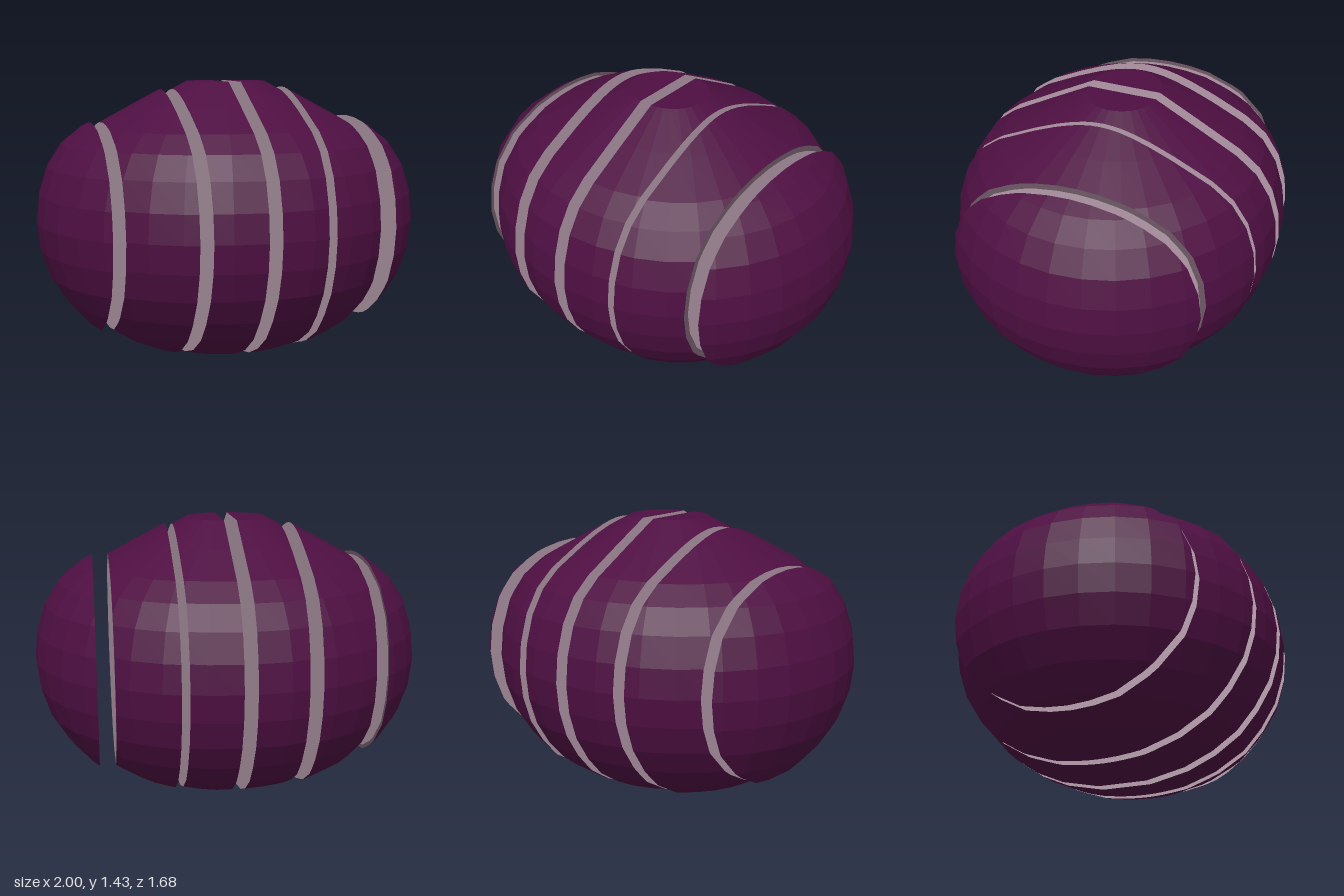
import * as THREE from 'three';

const skin = new THREE.MeshStandardMaterial({ color: 0x4e0f42 });
skin.name = 'purple skin';
const flesh = new THREE.MeshStandardMaterial({ color: 0xb59bab });
flesh.name = 'pale flesh';
const rim = new THREE.MeshStandardMaterial({ color: 0x6e5a66 });
rim.name = 'dull rim';

const MID = 0.71;

// Keep the part of a polygon where side * (x - cut) <= 0
function clip(poly, cut, side) {
  const out = [];
  poly.forEach((p, i) => {
    const q = poly[(i + 1) % poly.length];
    const dp = side * (p.x - cut), dq = side * (q.x - cut);
    if (dp <= 0) out.push(p);
    if ((dp < 0 && dq > 0) || (dp > 0 && dq < 0)) {
      const v = p.clone().lerp(q, dp / (dp - dq));
      v.x = cut;
      out.push(v);
    }
  });
  return out;
}

function meshFrom(points, material, name) {
  const geometry = new THREE.BufferGeometry().setFromPoints(points);
  geometry.computeVertexNormals();
  const mesh = new THREE.Mesh(geometry, material);
  mesh.name = name;
  return mesh;
}

// Flat cut face: an outer ring and a core, facing +x or -x
function addCutFace(group, edge, side, rimWidth) {
  const loop = edge.slice().sort((a, b) =>
    Math.atan2(a.z, a.y - MID) - Math.atan2(b.z, b.y - MID))
    .filter((p, i, all) => i === 0 || p.distanceTo(all[i - 1]) > 1e-4);
  const centre = new THREE.Vector3(loop[0].x, MID, 0);
  const inner = loop.map(p => p.clone().lerp(centre, rimWidth / p.distanceTo(centre)));
  const ring = [], core = [];
  const tri = (list, a, b, c) => list.push(...(side > 0 ? [a, b, c] : [a, c, b]));
  loop.forEach((p, i) => {
    const j = (i + 1) % loop.length;
    if (rimWidth > 0) {
      tri(ring, p, loop[j], inner[j]);
      tri(ring, p, inner[j], inner[i]);
    }
    tri(core, centre, inner[i], inner[j]);
  });
  const name = side > 0 ? 'leftCutFace' : 'rightCutFace';
  group.add(meshFrom(core, flesh, name));
  if (rimWidth > 0) group.add(meshFrom(ring, rim, name + 'Rim'));
}

export function createModel() {
  const model = new THREE.Group();
  model.name = 'slicedBulb';

  // Whole faceted bulb, flat at the top and bottom
  const profile = [
    [0, 0], [0.13, 0], [0.33, 0.045], [0.475, 0.11], [0.605, 0.2], [0.7, 0.31],
    [0.78, 0.44], [0.825, 0.58], [0.84, 0.72], [0.825, 0.86], [0.78, 1.0],
    [0.705, 1.115], [0.6, 1.2], [0.39, 1.315], [0.175, 1.43], [0, 1.43],
  ].map(([r, y]) => new THREE.Vector2(r, y));
  const bulb = new THREE.LatheGeometry(profile, 32).toNonIndexed();
  const pos = bulb.attributes.position;
  const triangles = [];
  for (let i = 0; i < pos.count; i += 3) {
    triangles.push([0, 1, 2].map(k => new THREE.Vector3().fromBufferAttribute(pos, i + k)));
  }

  // Slices: from, to, outward shift, rim width on the +x cut
  const slices = [
    ['rightEnd', -1, -0.555, -0.16, 0.02],
    ['rightOuterSlice', -0.555, -0.25, -0.1, 0],
    ['rightInnerSlice', -0.25, 0, -0.035, 0],
    ['leftInnerSlice', 0, 0.243, 0.03, 0],
    ['leftOuterSlice', 0.235, 0.53, 0.077, 0.03],
    ['leftEnd', 0.53, 1, 0.16, 0],
  ];
  for (const [name, from, to, shift, rimWidth] of slices) {
    const group = new THREE.Group();
    group.name = name;
    const shell = [], low = [], high = [];
    for (const t of triangles) {
      const poly = clip(clip(t, from, -1), to, 1);
      for (let i = 1; i + 1 < poly.length; i++) shell.push(poly[0], poly[i], poly[i + 1]);
      for (const p of poly) {
        // The end points on the axis are not part of the outline
        if (Math.hypot(p.y - MID, p.z) < 0.1) continue;
        if (Math.abs(p.x - from) < 1e-6) low.push(p);
        if (Math.abs(p.x - to) < 1e-6) high.push(p);
      }
    }
    group.add(meshFrom(shell, skin, 'skin'));
    if (low.length) addCutFace(group, low, -1, 0);
    if (high.length) addCutFace(group, high, 1, rimWidth);
    group.position.x = shift;
    model.add(group);
  }
  return model;
}
